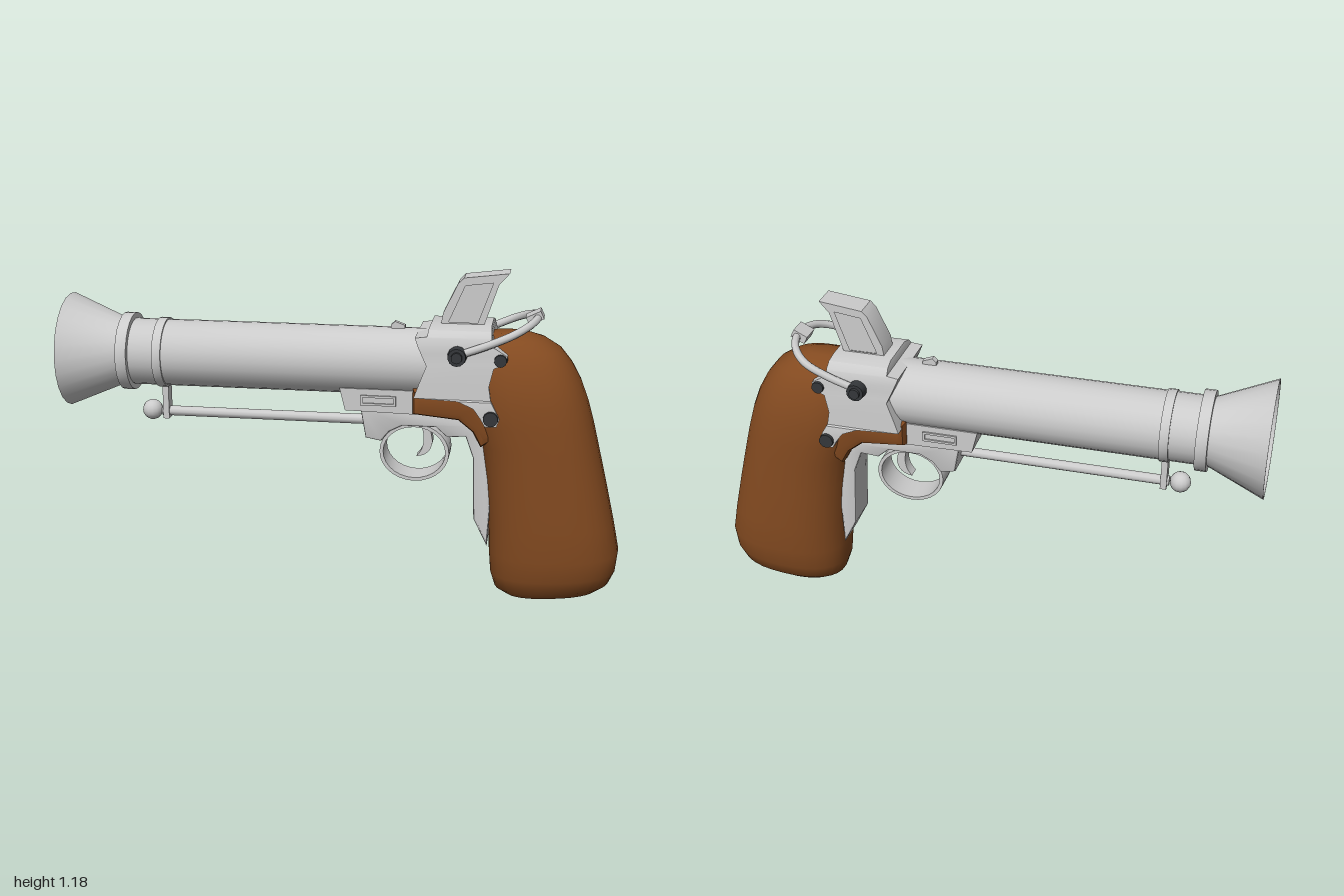
import * as THREE from 'three';
import { toCreasedNormals } from 'three/addons/utils/BufferGeometryUtils.js';

const metal = new THREE.MeshStandardMaterial({ color: 0xcccccc });
const wood = new THREE.MeshStandardMaterial({ color: 0x834a20 });
const dark = new THREE.MeshStandardMaterial({ color: 0x34373a });
const BARREL_Y = 0.855;

export function createModel() {
  const model = new THREE.Group();
  model.name = 'flaredPistol';

  const add = (name, geometry, material = metal, x = 0, y = 0, z = 0) => {
    const mesh = new THREE.Mesh(geometry, material);
    mesh.name = name;
    mesh.position.set(x, y, z);
    model.add(mesh);
    return mesh;
  };
  const shapeOf = (pts) => new THREE.Shape(pts.map((p) => new THREE.Vector2(...p)));

  // side outline extruded symmetrically to +-hw in z
  const slab = (shape, hw, bevel = 0) => {
    const g = new THREE.ExtrudeGeometry(shape, {
      depth: 2 * (hw - bevel), curveSegments: 14, bevelEnabled: bevel > 0,
      bevelSize: bevel, bevelThickness: bevel, bevelOffset: -bevel, bevelSegments: 2,
    });
    g.translate(0, 0, bevel - hw);
    return toCreasedNormals(g, 0.6);
  };

  // turned part along x; profile is [radius, x]
  const turned = (profile, sides = 24) => {
    const g = new THREE.LatheGeometry(profile.map((p) => new THREE.Vector2(...p)), sides);
    g.rotateZ(-Math.PI / 2);
    return toCreasedNormals(g, 0.6);
  };
  const band = (x0, x1, r) => turned([[0.1, x0], [r, x0], [r, x1], [0.1, x1]]);

  // skin closed rings of equal size, stacked from bottom to top
  const loft = (rings) => {
    const n = rings[0].length, pos = rings.flat(2), idx = [];
    for (let i = 0; i < rings.length - 1; i++) {
      for (let j = 0; j < n; j++) {
        const a = i * n + j, b = i * n + (j + 1) % n;
        idx.push(a, a + n, b, b, a + n, b + n);
      }
    }
    const last = (rings.length - 1) * n;
    for (let j = 1; j < n - 1; j++) idx.push(0, j, j + 1, last, last + j + 1, last + j);
    const g = new THREE.BufferGeometry();
    g.setAttribute('position', new THREE.Float32BufferAttribute(pos, 3));
    g.setIndex(idx);
    g.computeVertexNormals();
    return g;
  };

  // barrel with flared, hollow muzzle
  add('barrel', turned([[0, -0.5], [0.1, -0.5], [0.1, -0.78], [0.197, -1], [0.205, -1],
    [0.12, -0.8], [0.12, 0.4], [0, 0.4]]), metal, 0, BARREL_Y);
  add('muzzleCollar', band(-0.8, -0.76, 0.14), metal, 0, BARREL_Y);
  add('barrelBand', band(-0.67, -0.638, 0.126), metal, 0, BARREL_Y);
  add('frontSight', slab(shapeOf([[0.17, 0.96], [0.17, 0.985], [0.185, 0.998], [0.22, 0.985], [0.22, 0.96]]), 0.012));

  // ramrod under the barrel
  const rod = new THREE.CylinderGeometry(0.018, 0.018, 0.77, 10).rotateZ(Math.PI / 2);
  add('ramrod', rod, metal, -0.285, 0.635);
  add('ramrodKnob', new THREE.SphereGeometry(0.037, 14, 10), metal, -0.708, 0.637);
  add('ramrodBracket', new THREE.BoxGeometry(0.022, 0.14, 0.045), metal, -0.652, 0.68);

  // wooden grip: rows of [y, frontX, backX, halfWidth], underside rising to the back
  const gripRows = [
    [0.003, 0.64, 0.87, 0.06], [0.015, 0.6, 0.93, 0.1], [0.045, 0.56, 0.968, 0.135],
    [0.1, 0.542, 0.99, 0.158], [0.18, 0.535, 0.997, 0.17], [0.3, 0.53, 0.975, 0.175],
    [0.45, 0.515, 0.94, 0.175], [0.58, 0.495, 0.908, 0.175], [0.66, 0.465, 0.888, 0.175],
    [0.74, 0.445, 0.865, 0.172], [0.81, 0.44, 0.838, 0.16], [0.87, 0.44, 0.805, 0.142],
    [0.92, 0.45, 0.765, 0.117], [0.955, 0.48, 0.71, 0.083], [0.975, 0.52, 0.65, 0.04],
  ];
  const power = (v) => Math.sign(v) * Math.abs(v) ** 0.85;
  add('grip', loft(gripRows.map(([y, x0, x1, hw]) => Array.from({ length: 32 }, (_, k) => {
    const a = (k / 32) * Math.PI * 2;
    const x = (x0 + x1) / 2 + ((x1 - x0) / 2) * power(Math.cos(a));
    return [x, y + 0.1 * (x - 0.66) * Math.max(0, 1 - y / 0.3), hw * power(Math.sin(a))];
  }))), wood);
  add('foreStock', slab(shapeOf([[0.26, 0.69], [0.42, 0.675], [0.47, 0.635], [0.5, 0.58],
    [0.56, 0.62], [0.56, 0.78], [0.26, 0.78]]), 0.125, 0.025), wood);

  // receiver: rows of [y, frontX, backX, halfWidth]
  const receiverRows = [
    [0.672, 0.515, 0.555, 0.162], [0.7, 0.5, 0.565, 0.165], [0.735, 0.475, 0.548, 0.165],
    [0.758, 0.42, 0.535, 0.162], [0.762, 0.268, 0.533, 0.155], [0.81, 0.285, 0.525, 0.153],
    [0.875, 0.31, 0.54, 0.15], [0.89, 0.303, 0.58, 0.148], [0.918, 0.29, 0.585, 0.146],
    [0.945, 0.278, 0.54, 0.145], [0.97, 0.268, 0.53, 0.138], [0.975, 0.31, 0.53, 0.136],
    [0.995, 0.312, 0.528, 0.115], [1.005, 0.315, 0.525, 0.075],
  ];
  add('receiver', toCreasedNormals(loft(receiverRows.map(([y, x0, x1, w]) =>
    [[x1, y, -w], [x1, y, w], [x0, y, w], [x0, y, -w]])), 0.5));

  // trigger housing and the strap down the front of the grip
  add('triggerHousing', slab(shapeOf([[0, 0.77], [0.02, 0.69], [0.27, 0.685], [0.27, 0.77]]), 0.09));
  add('frontStrap', slab(shapeOf([[0.07, 0.7], [0.09, 0.585], [0.145, 0.575], [0.175, 0.612],
    [0.22, 0.635], [0.34, 0.635], [0.38, 0.6], [0.445, 0.605], [0.472, 0.53], [0.48, 0.3], [0.53, 0.2],
    [0.54, 0.4], [0.52, 0.58], [0.48, 0.65], [0.42, 0.695]]), 0.07, 0.008));
  const slot = shapeOf([[0.075, 0.712], [0.2, 0.712], [0.2, 0.748], [0.075, 0.748]]);
  slot.holes.push(shapeOf([[0.083, 0.72], [0.192, 0.72], [0.192, 0.74], [0.083, 0.74]]));
  add('housingSlotFrame', slab(slot, 0.096));

  // trigger guard and trigger
  const guard = new THREE.Shape().absellipse(0.263, 0.535, 0.124, 0.106, 0, Math.PI * 2);
  guard.holes.push(new THREE.Path().absellipse(0.263, 0.535, 0.111, 0.094, 0, Math.PI * 2));
  add('triggerGuard', slab(guard, 0.055));
  const trigger = new THREE.Shape();
  trigger.moveTo(0.275, 0.65);
  trigger.quadraticCurveTo(0.315, 0.56, 0.268, 0.512);
  trigger.quadraticCurveTo(0.32, 0.515, 0.325, 0.57);
  trigger.lineTo(0.31, 0.65);
  add('trigger', slab(trigger, 0.022));

  // hammer: raised rim around a recessed panel
  const hammer = shapeOf([[0.345, 0.98], [0.355, 1.04], [0.405, 1.145], [0.425, 1.165],
    [0.58, 1.184], [0.545, 1.145], [0.49, 0.98]]);
  add('hammerPanel', slab(hammer, 0.036));
  const rim = hammer.clone();
  rim.holes.push(shapeOf([[0.375, 1.01], [0.43, 1.138], [0.525, 1.15], [0.475, 1.01]]));
  add('hammerRim', slab(rim, 0.047));

  // cocking bow: bar wrapping around the back from pivot to pivot
  const half = [[0.43, 0.922, 0.152], [0.52, 0.958, 0.16], [0.6, 0.993, 0.153],
    [0.65, 1.016, 0.11], [0.675, 1.028, 0.05]];
  const bow = [...half, [0.68, 1.031, 0], ...half.map(([x, y, z]) => [x, y, -z]).reverse()];
  const curve = new THREE.CatmullRomCurve3(bow.map((p) => new THREE.Vector3(...p)));
  add('cockingBow', new THREE.TubeGeometry(curve, 48, 0.014, 8));
  add('bowThumbTab', new THREE.BoxGeometry(0.055, 0.03, 0.07), metal, 0.67, 1.03).rotation.z = 0.45;

  // dark pivots and screws, both sides: [name, x, y, radius, innerZ, outerZ]
  for (const side of [1, -1]) {
    for (const [name, x, y, r, z0, z1] of [
      ['hammerPivot', 0.415, 0.915, 0.036, 0.12, 0.178], ['pivotCap', 0.415, 0.915, 0.022, 0.15, 0.188],
      ['upperScrew', 0.562, 0.903, 0.025, 0.11, 0.156], ['lowerScrew', 0.535, 0.702, 0.03, 0.13, 0.176]]) {
      const g = new THREE.CylinderGeometry(r * 0.85, r, z1 - z0, 14).rotateX(side * Math.PI / 2);
      add(name, toCreasedNormals(g, 0.6), dark, x, y, side * (z0 + z1) / 2);
    }
  }
  return model;
}
